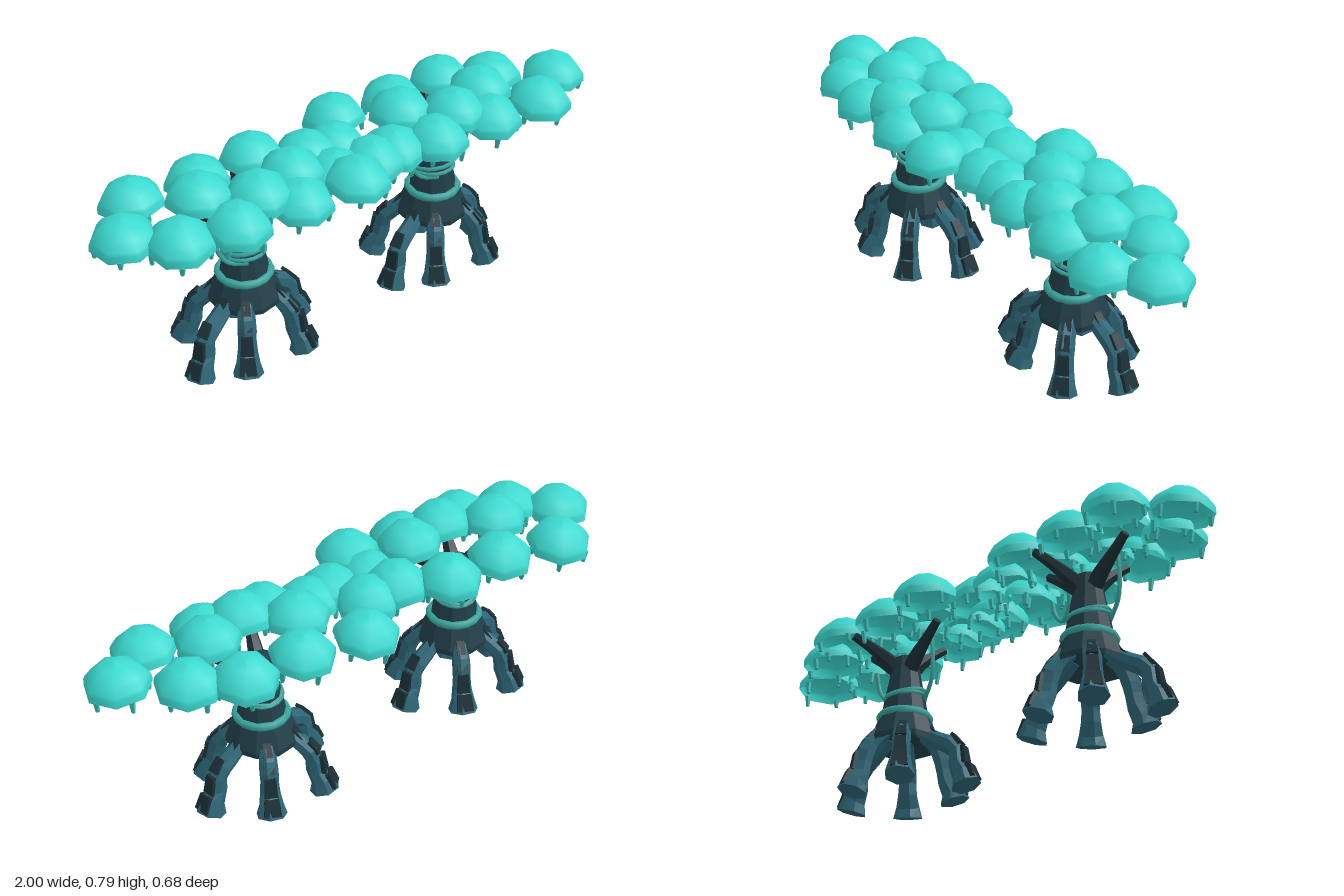
import * as THREE from 'three';

const mat = (color, extra = {}) =>
  new THREE.MeshStandardMaterial({ color, flatShading: true, ...extra });
const BARK = mat(0x213e48, { side: THREE.DoubleSide });
const DARK = mat(0x1c3038);
const ROOT = mat(0x2d6576);
const VINE = mat(0x38a59e, { flatShading: false });
const CAP = mat(0x3cdad1, { flatShading: false, side: THREE.DoubleSide });
const DRIP = mat(0x37bdb5);

const V = (x, y, z) => new THREE.Vector3(x, y, z);

function add(parent, name, geometry, material) {
  const mesh = new THREE.Mesh(geometry, material);
  mesh.name = name;
  parent.add(mesh);
  return mesh;
}

// Tube along a curve whose radius runs through a list; both ends are closed
function taper(points, radii, sides = 6, seg = 10) {
  const curve = new THREE.CatmullRomCurve3(points);
  const geo = new THREE.TubeGeometry(curve, seg, 1, sides);
  const pos = geo.attributes.position;
  const v = new THREE.Vector3();
  for (let i = 0; i < pos.count; i++) {
    const ring = Math.floor(i / (sides + 1));
    const u = THREE.MathUtils.clamp((ring - 1) / (seg - 2), 0, 1);
    const f = u * (radii.length - 1);
    const k = Math.min(Math.floor(f), radii.length - 2);
    const r = ring === 0 || ring === seg ? 0 : THREE.MathUtils.lerp(radii[k], radii[k + 1], f - k);
    v.fromBufferAttribute(pos, i).sub(curve.getPointAt(ring / seg)).multiplyScalar(r).add(curve.getPointAt(u));
    pos.setXYZ(i, v.x, v.y, v.z);
  }
  geo.computeVertexNormals();
  return geo;
}

// Root leg reaching along local +z from under the skirt, with dark plates down its outer face
function rootLeg(reach) {
  const leg = new THREE.Group();
  leg.name = 'rootLeg';
  const path = [[0.07, 0.25], [0.115, 0.21], [reach - 0.045, 0.15], [reach - 0.035, 0.09], [reach - 0.012, 0.045], [reach - 0.004, 0.008]];
  add(leg, 'root', taper(path.map(([z, y]) => V(0, y, z)), [0.028, 0.03, 0.034, 0.032, 0.038, 0.054], 7, 9), ROOT);
  // each plate: z, y, width, length, lean
  [[0.122, 0.235, 0.032, 0.05, 0.7], [reach - 0.04, 0.187, 0.038, 0.055, 0.65],
    [reach - 0.008, 0.12, 0.044, 0.07, 0.15], [reach + 0.02, 0.055, 0.058, 0.06, 0.35]].forEach(([z, y, w, l, lean]) => {
    const plate = add(leg, 'rootPlate', new THREE.CylinderGeometry(w * 0.6, w * 0.74, l, 4, 1), DARK);
    plate.geometry.rotateY(Math.PI / 4).scale(1, 1, 0.35);
    plate.position.set(0, y, z);
    plate.rotation.x = -lean;
  });
  return leg;
}

function buildTrunk() {
  const tree = new THREE.Group();
  tree.name = 'tree';
  // Flared trunk with a skirt over the roots
  const profile = [[0, 0.25], [0.09, 0.235], [0.124, 0.202], [0.126, 0.222], [0.097, 0.295], [0.084, 0.32], [0.056, 0.47], [0.044, 0.54], [0, 0.55]];
  add(tree, 'trunk', new THREE.LatheGeometry(profile.map(p => new THREE.Vector2(...p)), 10), BARK);
  // Six root legs: x, z of each foot
  [[0.155, 0.135], [-0.085, 0.165], [-0.235, 0.1], [-0.17, -0.14], [0.06, -0.18], [0.235, -0.06]].forEach(([x, z]) => {
    const leg = rootLeg(Math.hypot(x, z));
    leg.rotation.y = Math.atan2(x, z);
    tree.add(leg);
  });
  // Branches: x, z, height of each tip
  [[0.2, 0, 0.62], [-0.2, -0.01, 0.62], [0.07, -0.18, 0.61], [-0.03, 0.15, 0.61]].forEach(([x, z, y]) => {
    const pts = [V(0, 0.46, 0), V(x * 0.22, 0.51, z * 0.22), V(x * 0.6, 0.565, z * 0.6), V(x, y, z)];
    add(tree, 'branch', taper(pts, [0.034, 0.03, 0.021, 0.016], 6, 9), DARK);
  });
  // Vine wrapped around the trunk: radius, height, tilt, thickness
  [[0.087, 0.308, 0.02, 0.015], [0.07, 0.402, -0.24, 0.008], [0.073, 0.389, -0.12, 0.007]].forEach(([r, y, tilt, t]) => {
    const ring = add(tree, 'vineRing', new THREE.TorusGeometry(r, t, 6, 16).rotateX(Math.PI / 2), VINE);
    ring.position.y = y;
    ring.rotation.x = tilt;
  });
  // Hanging vines
  const hanging = [
    [V(-0.11, 0.62, 0.03), V(-0.122, 0.53, 0.03), V(-0.107, 0.43, 0.035), V(-0.07, 0.385, 0.04), V(-0.02, 0.385, 0.07)],
    [V(0.165, 0.61, 0.05), V(0.175, 0.53, 0.065), V(0.215, 0.48, 0.07), V(0.255, 0.52, 0.07), V(0.265, 0.6, 0.06)],
  ];
  hanging.forEach(p => add(tree, 'hangingVine', new THREE.TubeGeometry(new THREE.CatmullRomCurve3(p), 14, 0.008, 6), VINE));
  return tree;
}

// Hollow seven-sided cap with drips hanging from its rim
const capGeometry = new THREE.LatheGeometry(
  [[0.114, 0], [0.112, 0.024], [0.106, 0.036], [0.083, 0.066], [0.047, 0.09], [0, 0.099]].map(p => new THREE.Vector2(...p)), 7);
function mushroomCap(seed) {
  const cap = new THREE.Group();
  cap.name = 'leafCap';
  add(cap, 'capDome', capGeometry, CAP);
  for (let i = 0; i < 5; i++) {
    const a = i * 1.25 + seed * 0.7;
    const len = 0.024 + 0.02 * Math.abs(Math.sin(seed * 3.1 + i * 2.3));
    const drip = add(cap, 'drip', new THREE.CylinderGeometry(0.011, 0.007, len, 6), DRIP);
    drip.position.set(Math.sin(a) * 0.098, 0.004 - len / 2, Math.cos(a) * 0.098);
  }
  return cap;
}

// Canopy around a tree at cx, cz: x, z, rim height of each cap; caps droop gently outward
function buildCanopy(cx, cz, caps) {
  const canopy = new THREE.Group();
  canopy.name = 'canopy';
  caps.forEach(([x, z, y], i) => {
    const cap = mushroomCap(i + 1);
    cap.position.set(x, y, z);
    cap.rotation.set((z - cz) * 0.9, 0, (cx - x) * 0.12);
    canopy.add(cap);
  });
  return canopy;
}

export function createModel() {
  const model = new THREE.Group();
  model.name = 'mushroomTrees';
  const rightTree = buildTrunk();
  rightTree.position.set(-0.457, 0.035, 0.08);
  const leftTree = buildTrunk();
  leftTree.position.set(0.385, 0, -0.06);

  const rightCanopy = buildCanopy(-0.457, 0.08, [
    [-0.89, 0.1, 0.625], [-0.775, -0.08, 0.622], [-0.743, 0.205, 0.622], [-0.61, 0.08, 0.678],
    [-0.54, -0.07, 0.63], [-0.55, 0.23, 0.63], [-0.435, 0.16, 0.668], [-0.32, -0.1, 0.63],
    [-0.28, 0.1, 0.668], [-0.31, 0.21, 0.625], [-0.15, -0.03, 0.62], [-0.09, 0.2, 0.628],
    [-0.11, 0.09, 0.6], [-0.03, -0.045, 0.605]]);
  const leftCanopy = buildCanopy(0.385, -0.06, [
    [0.886, -0.055, 0.597], [0.743, 0.065, 0.595], [0.69, -0.165, 0.595], [0.56, -0.045, 0.642],
    [0.525, 0.075, 0.6], [0.52, -0.233, 0.6], [0.405, 0.03, 0.642], [0.295, 0.09, 0.6],
    [0.245, -0.065, 0.645], [0.3, -0.205, 0.6], [0.14, 0.06, 0.59], [0.065, -0.21, 0.6],
    [0.04, 0.085, 0.595]]);

  model.add(rightTree, leftTree, rightCanopy, leftCanopy);
  return model;
}
